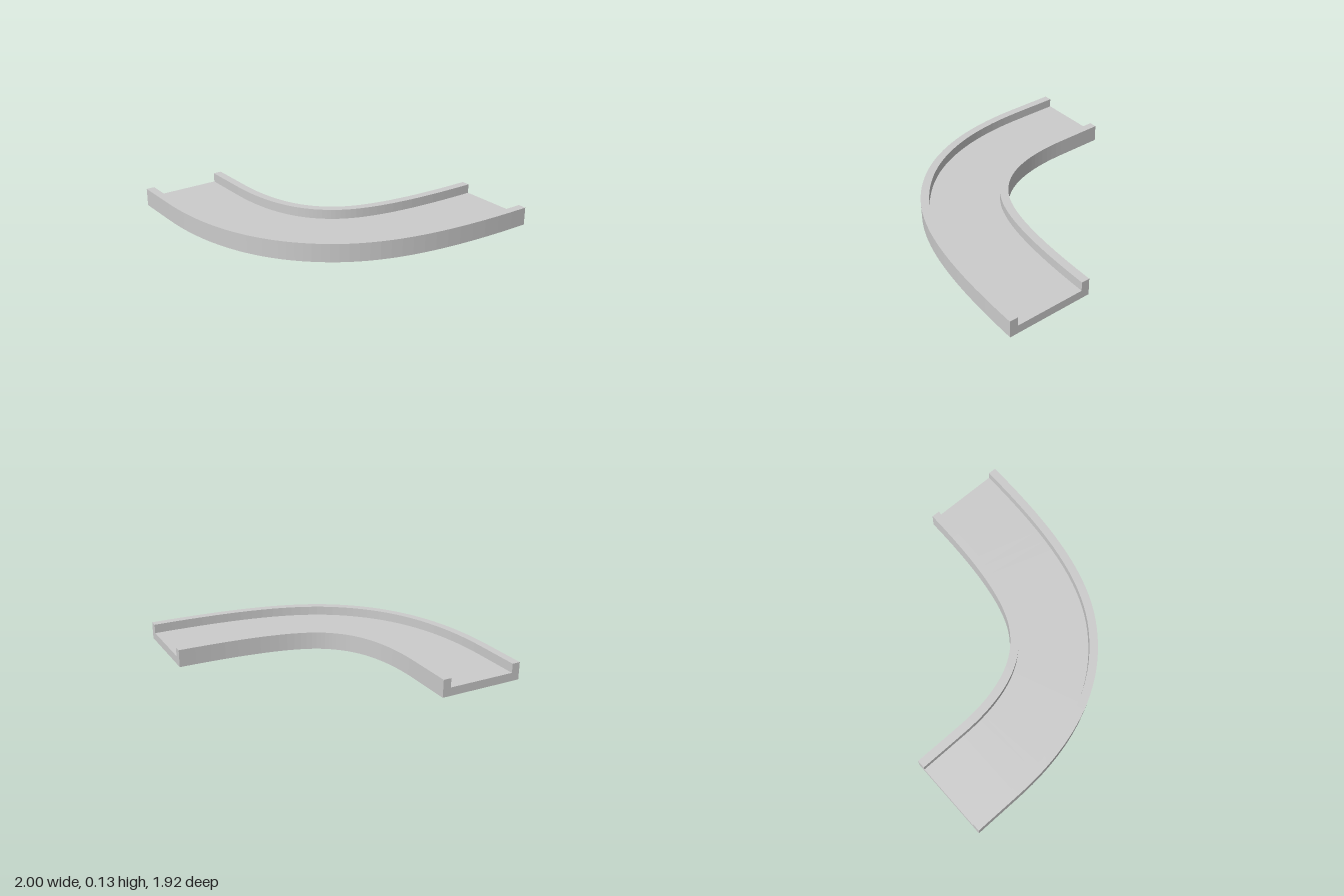
import * as THREE from 'three';

const HALF = 0.315, WALL = 0.061, FLOOR = 0.062, TOP = 0.13, STEPS = 20;

// U-shaped section, counter-clockwise: [offset towards outer side, height]
const profile = [
  [-HALF, 0], [HALF, 0], [HALF, TOP], [HALF - WALL, TOP], [HALF - WALL, FLOOR],
  [WALL - HALF, FLOOR], [WALL - HALF, TOP], [-HALF, TOP],
].map(([u, y]) => new THREE.Vector2(u, y));

// Centre line in plan (x, z): a short straight, then two curves joined mid-bend
function centreLine() {
  const v = (x, z) => new THREE.Vector2(x, z);
  return [
    new THREE.LineCurve(v(-0.685, -0.962), v(-0.685, -0.6)),
    new THREE.CubicBezierCurve(v(-0.685, -0.6), v(-0.685, -0.19), v(-0.58, 0.104), v(-0.387, 0.297)),
    new THREE.CubicBezierCurve(v(-0.387, 0.297), v(-0.187, 0.497), v(0.1, 0.637), v(0.995, 0.644)),
  ];
}

// Section placed square to a curve
function sectionAt(curve, s) {
  const p = curve.getPoint(s), t = curve.getTangent(s);
  return profile.map(q => [p.x - t.y * q.x, q.y, p.y + t.x * q.x]);
}

function buildGeometry(positions, index) {
  const geometry = new THREE.BufferGeometry();
  geometry.setAttribute('position', new THREE.Float32BufferAttribute(positions, 3));
  geometry.setIndex(index);
  geometry.computeVertexNormals();
  return geometry;
}

// Walls and floor, open underneath: one strip per section edge except the bottom
function channelGeometry(sections) {
  const positions = [], index = [];
  const add = p => positions.push(...p) / 3 - 1;
  for (let e = 1; e < profile.length; e++) {
    sections.forEach((s, i) => {
      const a = add(s[e]), b = add(s[(e + 1) % profile.length]);
      if (i > 0) index.push(a - 2, b, b - 2, a - 2, a, b);
    });
  }
  return buildGeometry(positions, index);
}

// Flat U-shaped plate closing a section
function plateGeometry(section, reversed) {
  const faces = THREE.ShapeUtils.triangulateShape(profile, []);
  const index = faces.flatMap(([a, b, c]) => (reversed ? [a, c, b] : [a, b, c]));
  return buildGeometry(section.flat(), index);
}

export function createModel() {
  const group = new THREE.Group();
  group.name = 'curvedTrack';
  const material = new THREE.MeshStandardMaterial({
    color: 0xcccccc, flatShading: true, side: THREE.DoubleSide,
  });
  const addPart = (name, geometry) => {
    const mesh = new THREE.Mesh(geometry, material);
    mesh.name = name;
    group.add(mesh);
  };

  const curves = centreLine();
  const sections = [sectionAt(curves[0], 0)];
  for (const curve of curves.slice(1)) {
    for (let i = sections.length > 1 ? 1 : 0; i <= STEPS; i++) {
      sections.push(sectionAt(curve, i / STEPS));
    }
  }

  addPart('trackChannel', channelGeometry(sections));
  addPart('backEndPlate', plateGeometry(sections[0], false));
  addPart('middleRib', plateGeometry(sectionAt(curves[2], 0), false));
  addPart('leftEndPlate', plateGeometry(sections[sections.length - 1], true));
  return group;
}
